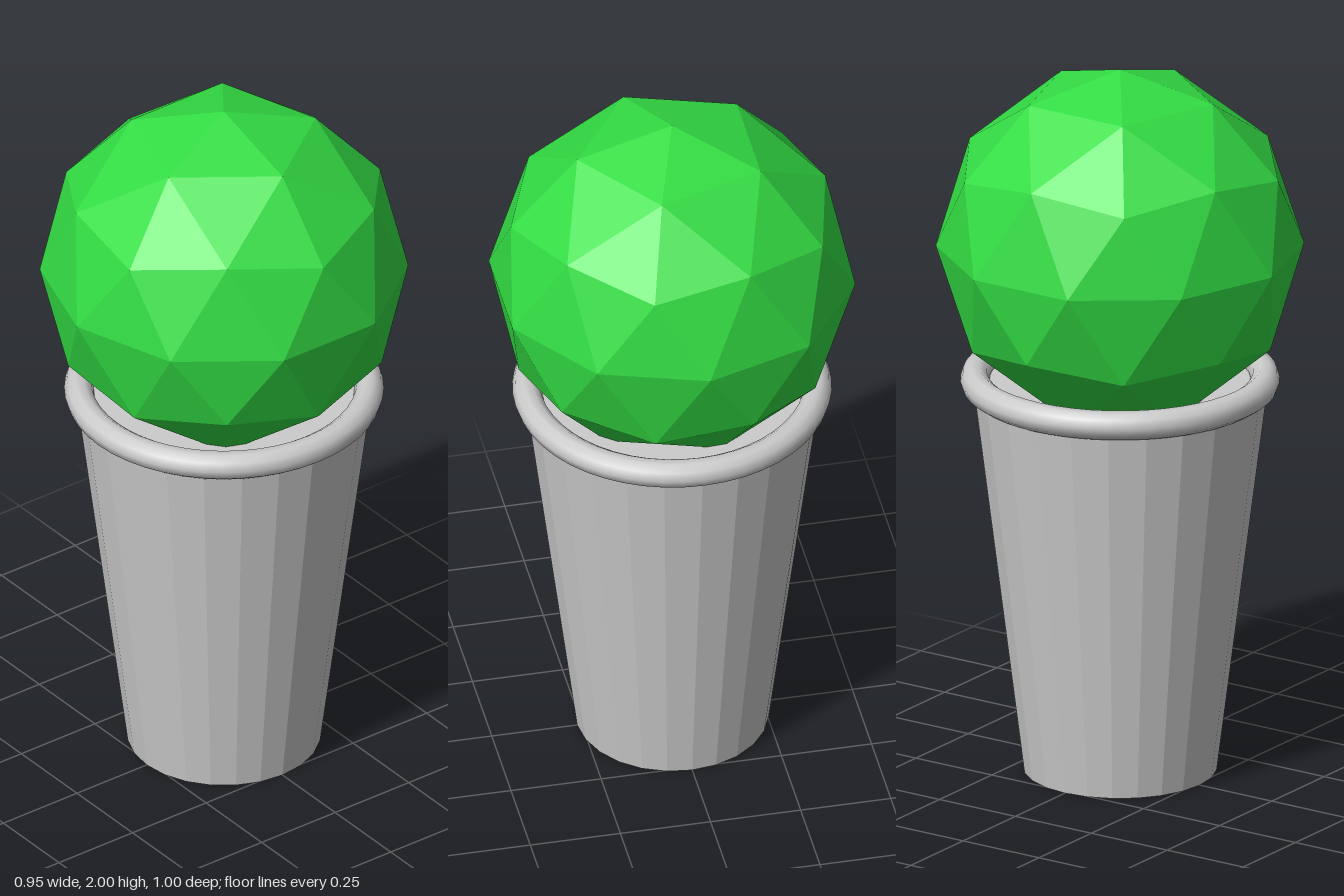
import * as THREE from 'three';

// Icosahedron with a vertex at each pole, split once into 80 flat facets
function poleIcosphere(radius) {
  const verts = [0, 1, 0];
  const ringR = 2 / Math.sqrt(5), ringY = 1 / Math.sqrt(5);
  for (const [y, offset] of [[ringY, 0], [-ringY, Math.PI / 5]]) {
    for (let i = 0; i < 5; i++) {
      const a = offset + (i * Math.PI * 2) / 5;
      verts.push(ringR * Math.cos(a), y, ringR * Math.sin(a));
    }
  }
  verts.push(0, -1, 0);
  const faces = [];
  for (let i = 0; i < 5; i++) {
    const j = (i + 1) % 5;
    const u = 1 + i, un = 1 + j, l = 6 + i, ln = 6 + j;
    faces.push(0, un, u, u, un, l, un, ln, l, 11, l, ln);
  }
  return new THREE.PolyhedronGeometry(verts, faces, radius, 1);
}

export function createModel() {
  const model = new THREE.Group();
  const grey = new THREE.MeshStandardMaterial({ color: 0xcccccc, flatShading: true });
  const smoothGrey = new THREE.MeshStandardMaterial({ color: 0xcccccc });
  const green = new THREE.MeshStandardMaterial({ color: 0x33dd44, flatShading: true });

  const add = (name, geometry, material, y) => {
    const mesh = new THREE.Mesh(geometry, material);
    mesh.name = name;
    mesh.position.y = y;
    model.add(mesh);
    return mesh;
  };

  // Tapered cup, closed at both ends
  const cupHeight = 1.11;
  add('cup', new THREE.CylinderGeometry(0.403, 0.263, cupHeight, 24), grey, cupHeight / 2);

  // Rolled rim
  const rim = new THREE.TorusGeometry(0.394, 0.04, 10, 48);
  rim.rotateX(Math.PI / 2);
  add('rim', rim, smoothGrey, 1.114);

  // Faceted scoop resting in the cup
  add('scoop', poleIcosphere(0.5), green, 1.5);

  return model;
}
